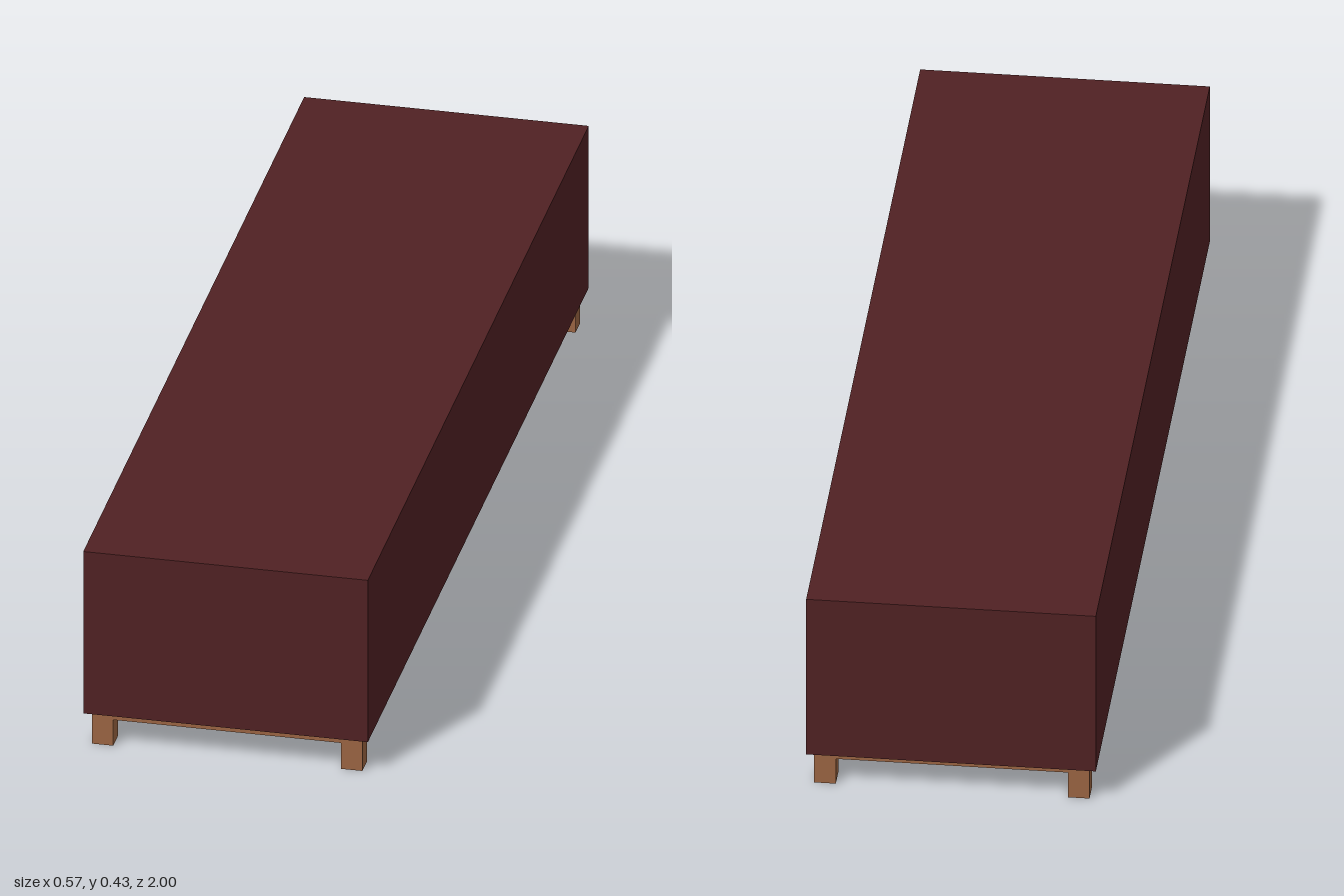
import * as THREE from 'three';

export function createModel() {
  const group = new THREE.Group();
  const upholstery = new THREE.MeshStandardMaterial({ color: 0x502123 });
  upholstery.name = 'dark red upholstery';
  const wood = new THREE.MeshStandardMaterial({ color: 0x9a6442 });
  wood.name = 'brown wood';

  // Box of a given size whose underside rests at height y
  function addBox(name, material, [w, h, d], x, y, z) {
    const mesh = new THREE.Mesh(new THREE.BoxGeometry(w, h, d), material);
    mesh.name = name;
    mesh.position.set(x, y + h / 2, z);
    group.add(mesh);
  }

  // Padded seat block over a slightly inset wooden base
  addBox('seat', upholstery, [0.572, 0.357, 2], 0, 0.072, 0);
  addBox('basePanel', wood, [0.544, 0.015, 1.972], 0, 0.057, 0);

  // Square legs flush with the base corners
  const leg = 0.043;
  for (const [side, sx] of [['Left', 1], ['Right', -1]]) {
    for (const [end, sz] of [['front', 1], ['back', -1]]) {
      addBox(`${end}${side}Leg`, wood, [leg, 0.057, leg],
        sx * (0.272 - leg / 2), 0, sz * (0.986 - leg / 2));
    }
  }
  return group;
}
